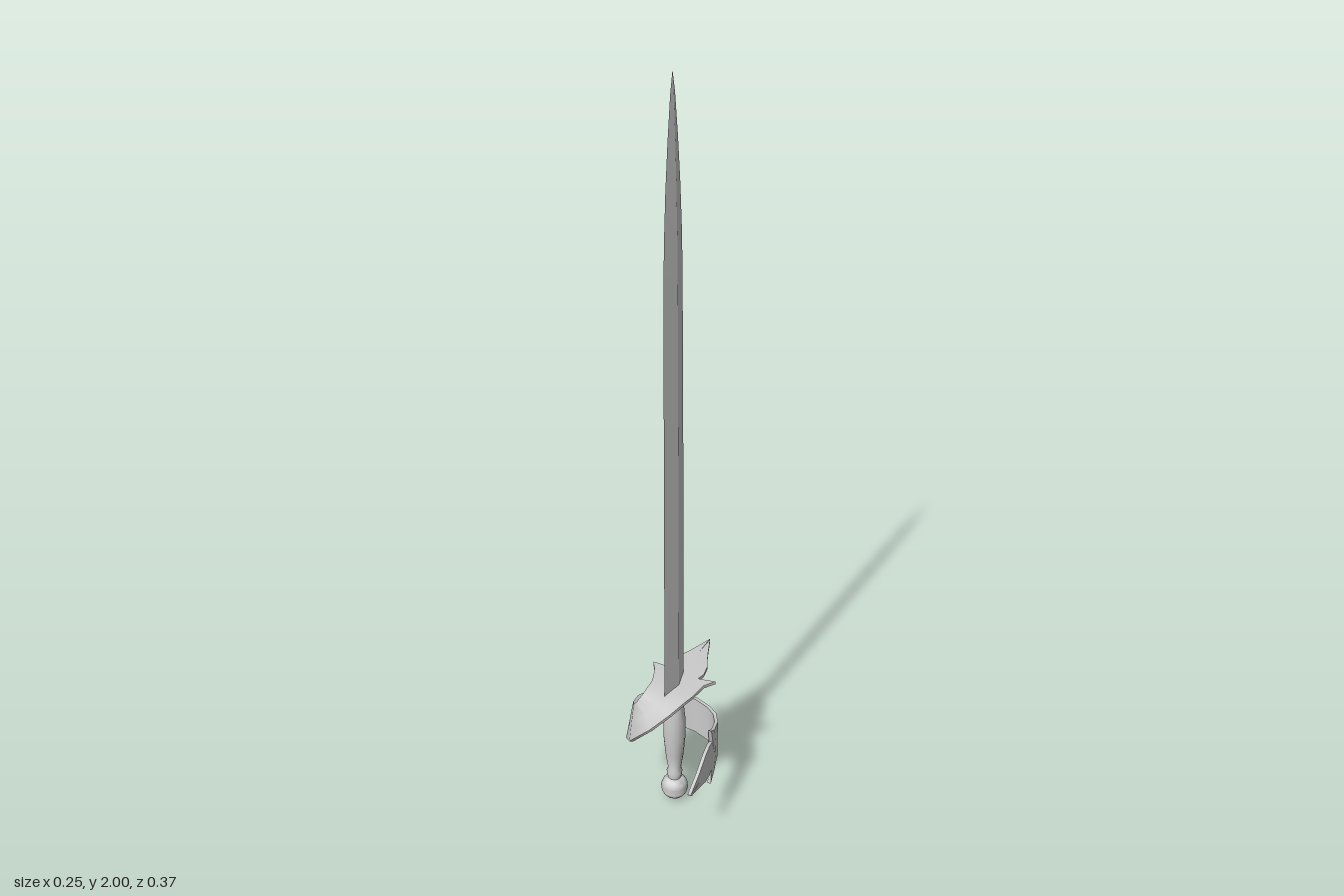
import * as THREE from 'three';
import { toCreasedNormals } from 'three/addons/utils/BufferGeometryUtils.js';

const material = new THREE.MeshStandardMaterial({ color: 0xcccccc });
const AXIS_X = -0.01, AXIS_Z = 0.02;

function addMesh(group, name, geometry, crease = 0.7) {
  const mesh = new THREE.Mesh(toCreasedNormals(geometry, crease), material);
  mesh.name = name;
  group.add(mesh);
  return mesh;
}

function lathe(points, sides) {
  return new THREE.LatheGeometry(points.map(([r, y]) => new THREE.Vector2(r, y)), sides);
}

// Solid band through rows of [left, centre, right] points
function bandGeometry(rows, thickness) {
  const positions = [], index = [], n = rows.length;
  rows.forEach(([l, c, r], i) => {
    const along = rows[Math.min(i + 1, n - 1)][1].clone().sub(rows[Math.max(i - 1, 0)][1]);
    const normal = r.clone().sub(l).cross(along).normalize().multiplyScalar(thickness / 2);
    for (const p of [l, c, r]) positions.push(...p.clone().add(normal).toArray());
    for (const p of [r, c, l]) positions.push(...p.clone().sub(normal).toArray());
  });
  for (let i = 0; i < n - 1; i++) {
    for (let j = 0; j < 6; j++) {
      const a = i * 6 + j, b = i * 6 + (j + 1) % 6;
      index.push(a, b, b + 6, a, b + 6, a + 6);
    }
  }
  const e = (n - 1) * 6;
  for (let j = 1; j < 5; j++) index.push(0, j + 1, j, e, e + j, e + j + 1);
  const geometry = new THREE.BufferGeometry();
  geometry.setAttribute('position', new THREE.Float32BufferAttribute(positions, 3));
  geometry.setIndex(index);
  return geometry;
}

// Leaf outline from the tip: [half width, edge distance, centre distance]
const LEAF = [
  [0.001, 0, 0], [0.024, 0.06, 0.06], [0.045, 0.105, 0.105], [0.051, 0.138, 0.13],
  [0.045, 0.16, 0.152], [0.09, 0.15, 0.172], [0.071, 0.178, 0.186],
];

export function createModel() {
  const model = new THREE.Group();
  const v = (x, y, z) => new THREE.Vector3(x, y, z);

  // Diamond-section blade
  const blade = addMesh(model, 'blade', lathe([
    [0, 0.36], [0.053, 0.36], [0.051, 0.9], [0.046, 1.5], [0.043, 1.62],
    [0.035, 1.74], [0.024, 1.85], [0.011, 1.95], [0, 2.0],
  ], 4), 0.3);
  blade.scale.x = 0.25;

  // Grip with a narrow neck and a round pommel
  const grip = addMesh(model, 'grip', lathe([
    [0, 0.07], [0.018, 0.07], [0.021, 0.09], [0.017, 0.1], [0.024, 0.15], [0.029, 0.21],
    [0.029, 0.27], [0.023, 0.33], [0.017, 0.375], [0, 0.378],
  ], 16));
  const pommel = addMesh(model, 'pommel', new THREE.SphereGeometry(0.036, 16, 12));
  pommel.position.y = 0.036;
  for (const part of [blade, grip, pommel]) {
    part.position.x = AXIS_X;
    part.position.z = AXIS_Z;
  }

  // Upper leaf lies flat over the grip, its tip to the back
  const rows = LEAF.map(([w, edge, mid]) => [
    v(AXIS_X - w, 0.379, edge - 0.185),
    v(AXIS_X, 0.381, mid - 0.185),
    v(AXIS_X + w, 0.379, edge - 0.185),
  ]);

  // The band rolls over the front and winds round the hand: upper and lower edge
  const winding = [
    [[-0.066, 0.379, 0.035], [0.055, 0.379, 0.045]],
    [[-0.066, 0.376, 0.06], [0.047, 0.378, 0.075]],
    [[-0.068, 0.368, 0.082], [0.03, 0.366, 0.12]],
    [[-0.077, 0.35, 0.092], [-0.005, 0.335, 0.158]],
    [[-0.09, 0.33, 0.084], [-0.065, 0.272, 0.155]],
    [[-0.104, 0.316, 0.06], [-0.105, 0.225, 0.1]],
    [[-0.115, 0.3, 0.015], [-0.118, 0.195, 0.015]],
    [[-0.105, 0.287, -0.03], [-0.107, 0.178, -0.03]],
    [[-0.083, 0.275, -0.063], [-0.084, 0.165, -0.063]],
    [[-0.045, 0.265, -0.082], [-0.045, 0.155, -0.082]],
    [[0, 0.258, -0.087], [0, 0.147, -0.087]],
    [[0.04, 0.253, -0.078], [0.04, 0.141, -0.078]],
    [[0.066, 0.25, -0.063], [0.066, 0.138, -0.063]],
    [[0.084, 0.25, -0.035], [0.084, 0.134, -0.035]],
  ];
  for (const [upper, lower] of winding) {
    const l = v(...upper), r = v(...lower);
    rows.push([l, l.clone().add(r).multiplyScalar(0.5), r]);
  }

  // Lower leaf stands upright at the left, its tip to the front
  const side = (z) => 0.094 + 0.17 * z - 0.25 * z * z;
  for (const [w, edge, mid] of [...LEAF].reverse()) {
    const ze = 0.185 - edge, zm = 0.185 - mid;
    rows.push([
      v(side(ze), 0.19 + w, ze),
      v(side(zm) + 0.002, 0.19, zm),
      v(side(ze), 0.19 - w, ze),
    ]);
  }
  addMesh(model, 'leafGuard', bandGeometry(rows, 0.009), 0.8);

  return model;
}
